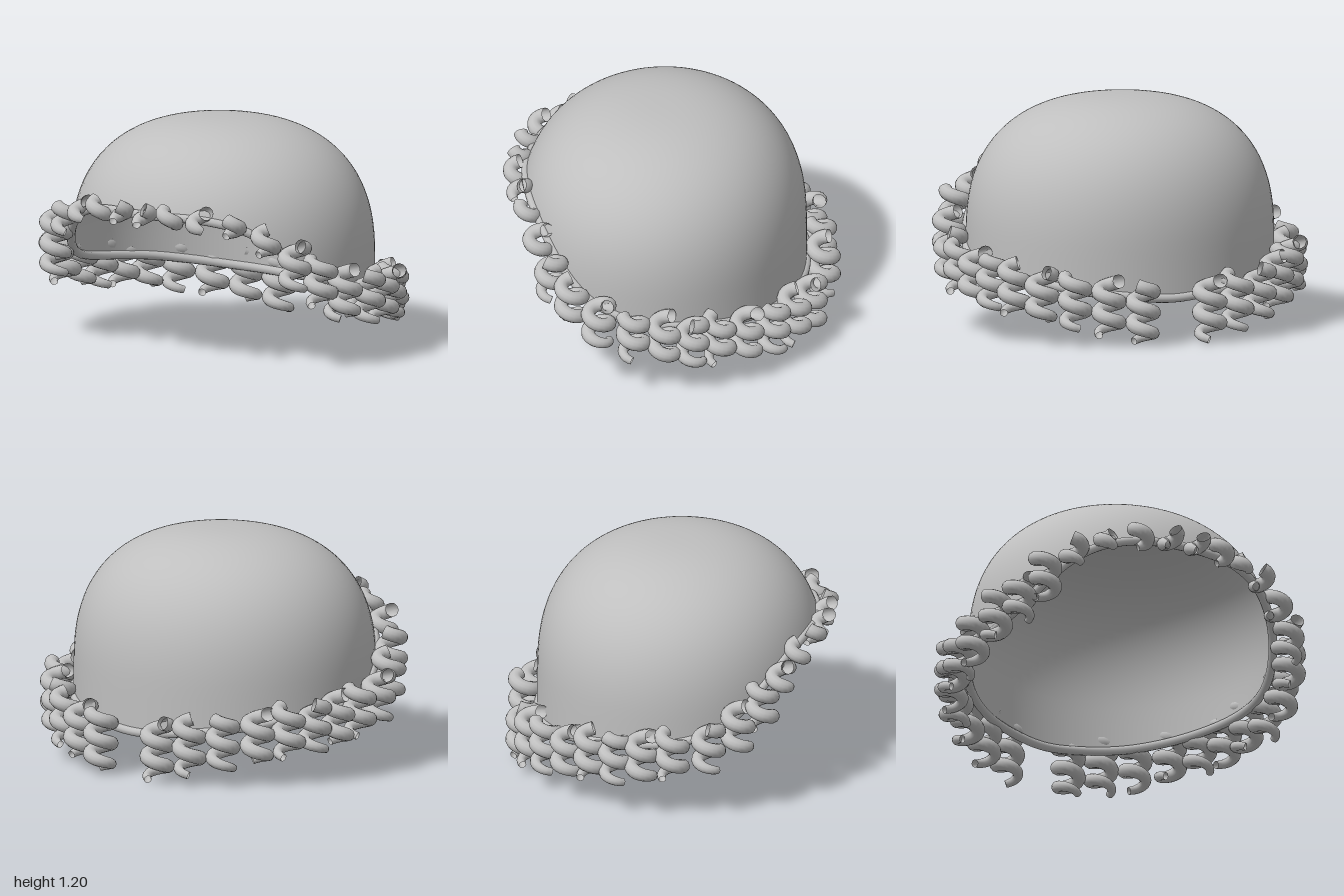
import * as THREE from 'three';
import { mergeVertices } from 'three/addons/utils/BufferGeometryUtils.js';

const CZ = 0.05, RX = 0.81, RZ = 0.75, BASE = 0.5, H = 0.745, N = 2.5;
const rad = THREE.MathUtils.degToRad;

// Piecewise smooth lookup in [position, value] pairs
function lookup(knots, x) {
  for (let i = 1; i < knots.length; i++) {
    const [x0, y0] = knots[i - 1], [x1, y1] = knots[i];
    if (x <= x1) return y0 + (y1 - y0) * (x - x0) / (x1 - x0);
  }
  return knots[knots.length - 1][1];
}

// Height of the hem, by angle in degrees away from the front
const hemKnots = [[0, 0.83], [22, 0.83], [38, 0.79], [48, 0.72], [57, 0.63], [67, 0.52],
  [78, 0.45], [92, 0.41], [120, 0.37], [150, 0.31], [180, 0.27]];
function hemY(theta) {
  let d = Math.abs(THREE.MathUtils.radToDeg(theta)) % 360;
  if (d > 180) d = 360 - d;
  let sum = 0; // average nearby values to round the corners
  for (let k = -3; k <= 3; k++) {
    const a = Math.abs(d + k * 2);
    sum += lookup(hemKnots, a > 180 ? 360 - a : a);
  }
  return sum / 7;
}

// Point on the dome wall at an angle and a height
function wall(theta, y, out = 0) {
  const v = Math.max(0, (y - BASE) / H);
  const r = Math.pow(Math.max(0, 1 - Math.pow(v, N)), 1 / N);
  return new THREE.Vector3((RX * r + out) * Math.sin(theta), y, CZ + (RZ * r + out) * Math.cos(theta));
}

// Dome: rings from the crown down to the wavy hem
function domeGeometry() {
  const seg = 96, rings = 40, pos = [], idx = [];
  for (let j = 0; j <= rings; j++) {
    for (let i = 0; i < seg; i++) {
      const th = i / seg * Math.PI * 2, hem = hemY(th);
      const end = hem > BASE ? Math.acos(Math.pow((hem - BASE) / H, N / 2)) : Math.PI / 2;
      const d = j / rings * (end + Math.max(0, BASE - hem));
      const a = Math.min(d, end);
      const r = Math.pow(Math.sin(a), 2 / N);
      const y = BASE + H * Math.pow(Math.max(0, Math.cos(a)), 2 / N) - Math.max(0, d - end);
      pos.push(RX * r * Math.sin(th), y, CZ + RZ * r * Math.cos(th));
      if (j < rings) {
        const p = j * seg + i, q = j * seg + (i + 1) % seg;
        idx.push(p, p + seg, q);
        idx.push(q, p + seg, q + seg);
      }
    }
  }
  let g = new THREE.BufferGeometry();
  g.setAttribute('position', new THREE.Float32BufferAttribute(pos, 3));
  g.setIndex(idx);
  g = mergeVertices(g, 1e-5);
  g.computeVertexNormals();
  return g;
}

// Corkscrew curl hanging from its top, thinner towards the tip
function curlGeometry(radius, tube, turns, pitch, phase) {
  const pts = [], steps = Math.ceil(turns * 12);
  for (let i = 0; i <= steps; i++) {
    const t = i / steps * turns, a = phase - t * Math.PI * 2;
    pts.push(new THREE.Vector3(Math.cos(a) * radius, -t * pitch, Math.sin(a) * radius));
  }
  const curve = new THREE.CatmullRomCurve3(pts);
  const seg = Math.ceil(turns * 22), sides = 12;
  const g = new THREE.TubeGeometry(curve, seg, tube, sides, false);
  const p = g.attributes.position, v = new THREE.Vector3();
  for (let i = 0; i <= seg; i++) {
    const u = i / seg, c = curve.getPointAt(u);
    const k = u < 0.75 ? 1 : 1 - 0.45 * (u - 0.75) / 0.25;
    for (let j = 0; j <= sides; j++) {
      const n = i * (sides + 1) + j;
      v.fromBufferAttribute(p, n).sub(c).multiplyScalar(k).add(c);
      p.setXYZ(n, v.x, v.y, v.z);
    }
  }
  return g;
}

export function createModel() {
  const model = new THREE.Group();
  model.name = 'curlyCap';
  const grey = new THREE.MeshStandardMaterial({ color: 0xbfbfbf, side: THREE.DoubleSide });
  grey.name = 'grey';
  const add = (name, geometry, parent = model) => {
    const m = new THREE.Mesh(geometry, grey);
    m.name = name;
    parent.add(m);
    return m;
  };

  add('dome', domeGeometry());

  // Rolled cord along the hem
  const hem = [];
  for (let i = 0; i < 72; i++) {
    const th = i / 72 * Math.PI * 2;
    hem.push(wall(th, hemY(th)));
  }
  add('hemCord', new THREE.TubeGeometry(new THREE.CatmullRomCurve3(hem, true), 180, 0.023, 10, true));

  // Curls spaced along the hem, leaving a gap at the middle of the back
  const curls = new THREE.Group();
  curls.name = 'curls';
  model.add(curls);
  const angles = [0, 11, 22.5, 35, 47, 57, 67, 78, 91, 102, 112, 122, 133, 145, 156.5, 168];
  const addCurl = (deg, i) => {
    const d = Math.abs(deg), th = rad(deg), y = hemY(th);
    const turns = lookup([[0, 0.8], [38, 0.85], [47, 1.2], [57, 2.1], [100, 2.25], [150, 2.4], [168, 2.75]], d);
    const radius = lookup([[0, 0.036], [38, 0.038], [60, 0.056]], d);
    const out = lookup([[0, 0.045], [40, 0.045], [60, 0.085]], d);
    const rise = lookup([[0, 0.045], [40, 0.05], [60, 0.09], [180, 0.08]], d);
    const m = add('curl', curlGeometry(radius, 0.037, turns, 0.11, i * 2.4 + 1), curls);
    m.position.copy(wall(th, y, out)).setY(y + rise);
  };
  angles.forEach((a, i) => {
    addCurl(a, i);
    if (a > 0) addCurl(-a, i + 7);
  });
  return model;
}
